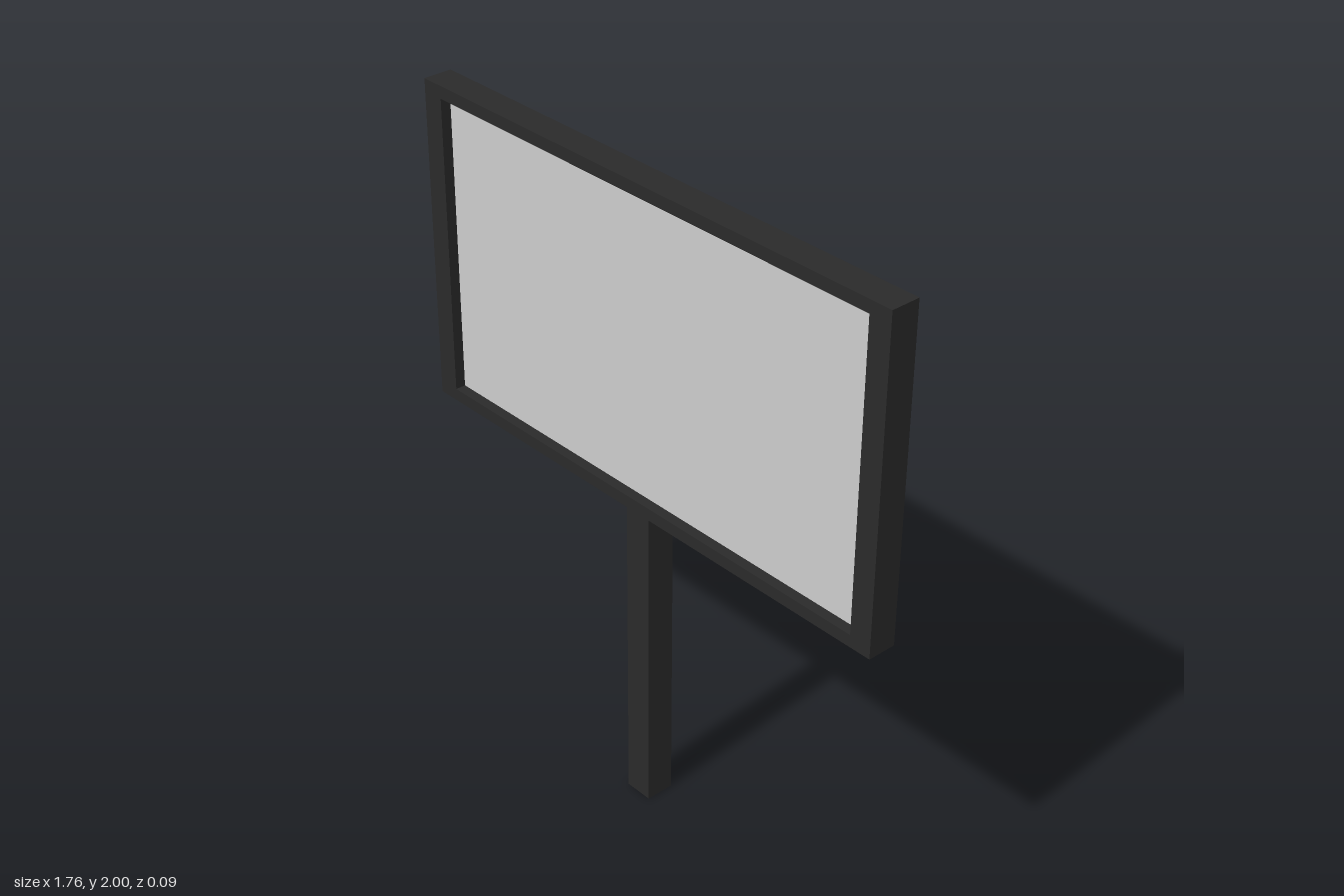
import * as THREE from 'three';

const W = 1.76, H = 1.0, D = 0.09;      // sign outer size
const SIDE = 0.07, RAIL = 0.038;        // frame bar widths
const POST_H = 1.0;

function rectangle(PathType, w, h) {
  return new PathType([
    new THREE.Vector2(-w / 2, -h / 2), new THREE.Vector2(w / 2, -h / 2),
    new THREE.Vector2(w / 2, h / 2), new THREE.Vector2(-w / 2, h / 2),
  ]);
}

export function createModel() {
  const group = new THREE.Group();
  group.name = 'signboard';
  const dark = new THREE.MeshStandardMaterial({ color: 0x2a2a2a });
  const grey = new THREE.MeshStandardMaterial({ color: 0xcccccc });

  function add(name, geometry, material, y) {
    const mesh = new THREE.Mesh(geometry, material);
    mesh.name = name;
    mesh.position.y = y;
    group.add(mesh);
  }

  // Square post under the sign
  add('post', new THREE.BoxGeometry(D, POST_H, D), dark, POST_H / 2);

  // Frame with a rectangular opening
  const outline = rectangle(THREE.Shape, W, H);
  outline.holes.push(rectangle(THREE.Path, W - 2 * SIDE, H - 2 * RAIL));
  const frame = new THREE.ExtrudeGeometry(outline, { depth: D, bevelEnabled: false });
  frame.translate(0, 0, -D / 2);
  add('frame', frame, dark, POST_H + H / 2);

  // Panel recessed from both faces of the frame
  add('panel', new THREE.BoxGeometry(W - 2 * SIDE, H - 2 * RAIL, 0.025), grey, POST_H + H / 2);

  return group;
}
